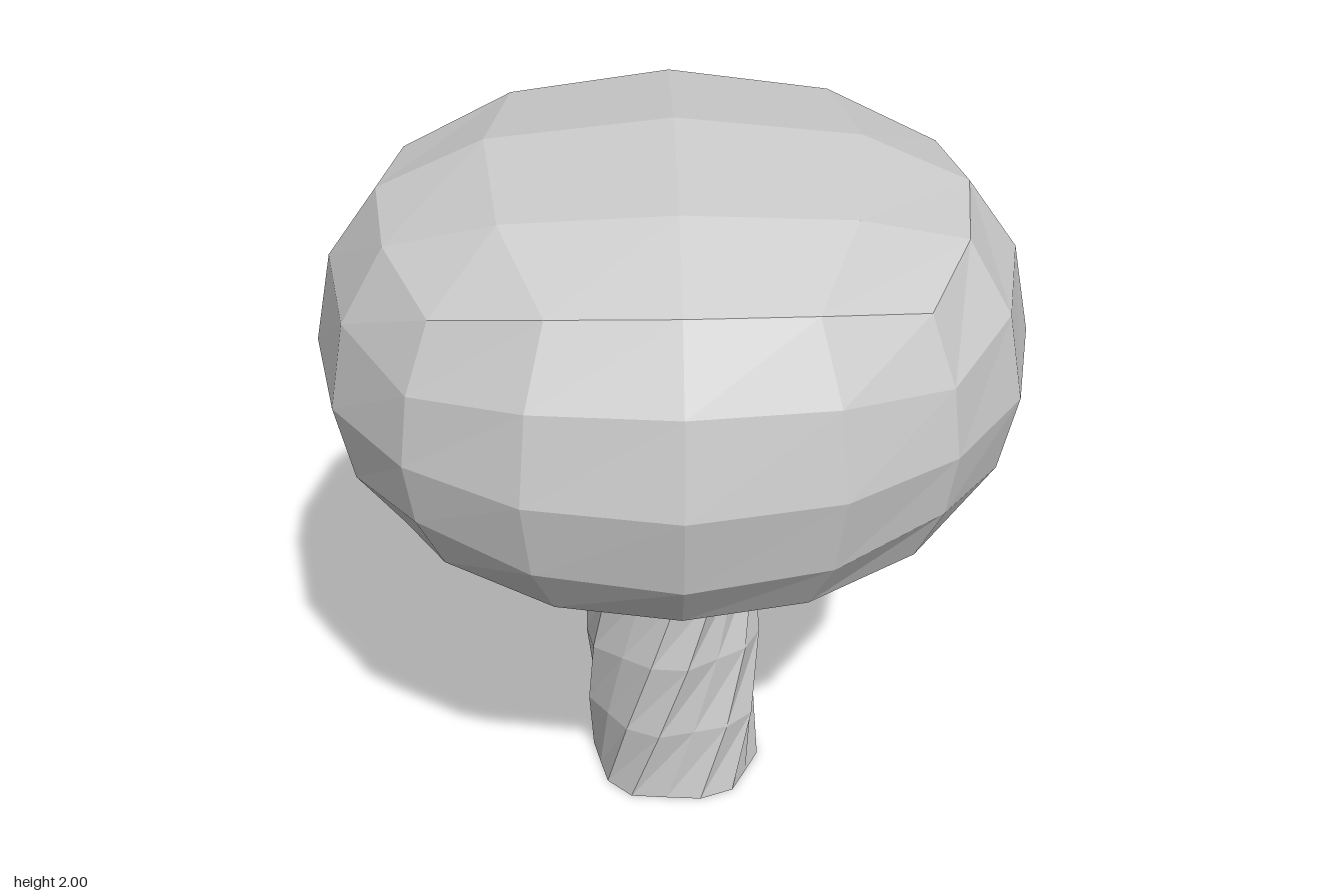
import * as THREE from 'three';

const material = () =>
  new THREE.MeshStandardMaterial({ color: 0xcccccc, flatShading: true, side: THREE.DoubleSide });

// Apply a rule to every vertex of a geometry.
function reshape(geometry, rule) {
  const pos = geometry.attributes.position;
  const v = new THREE.Vector3();
  for (let i = 0; i < pos.count; i++) {
    v.fromBufferAttribute(pos, i);
    rule(v, i);
    pos.setXYZ(i, v.x, v.y, v.z);
  }
  geometry.computeVertexNormals();
  return geometry;
}

// Crown: a subdivided cube rounded into a squat ball with broad shoulders.
function createCrown() {
  const geometry = new THREE.BoxGeometry(2, 2, 2, 4, 4, 4);
  const even = (t) => (Math.abs(Math.abs(t) - 0.5) < 0.01 ? Math.sign(t) * 0.44 : t);
  reshape(geometry, (v) => {
    v.set(even(v.x), even(v.y), even(v.z)).normalize();
    const spread = 1 + 0.32 * Math.abs(v.y) ** 2.5;
    const halfHeight = v.y > 0 ? 0.595 : 0.555;
    v.set(-0.01 + v.x * spread * 0.915, 1.405 + v.y * halfHeight, v.z * spread * 0.885);
  });
  const crown = new THREE.Mesh(geometry, material());
  crown.name = 'crown';
  return crown;
}

// Trunk: an open, grooved tube that twists and leans slightly on its way up.
function createTrunk() {
  const sides = 15, height = 0.95;
  const groove = [1.0, 1.03, 0.93];
  const geometry = new THREE.CylinderGeometry(1, 1, height, sides, 4, true);
  const uv = geometry.attributes.uv;
  reshape(geometry, (v, i) => {
    const side = Math.round(uv.getX(i) * sides) % sides;
    const y = v.y + height / 2;
    const angle = (side / sides) * Math.PI * 2 + 0.28 + y * 1.5;
    const r = groove[side % 3];
    const lean = -0.005 - 0.045 * y * y;
    v.set(lean + Math.sin(angle) * r * 0.241, y, 0.008 + Math.cos(angle) * r * 0.212);
  });
  const trunk = new THREE.Mesh(geometry, material());
  trunk.name = 'trunk';
  return trunk;
}

export function createModel() {
  const tree = new THREE.Group();
  tree.name = 'tree';
  tree.add(createTrunk(), createCrown());
  return tree;
}
